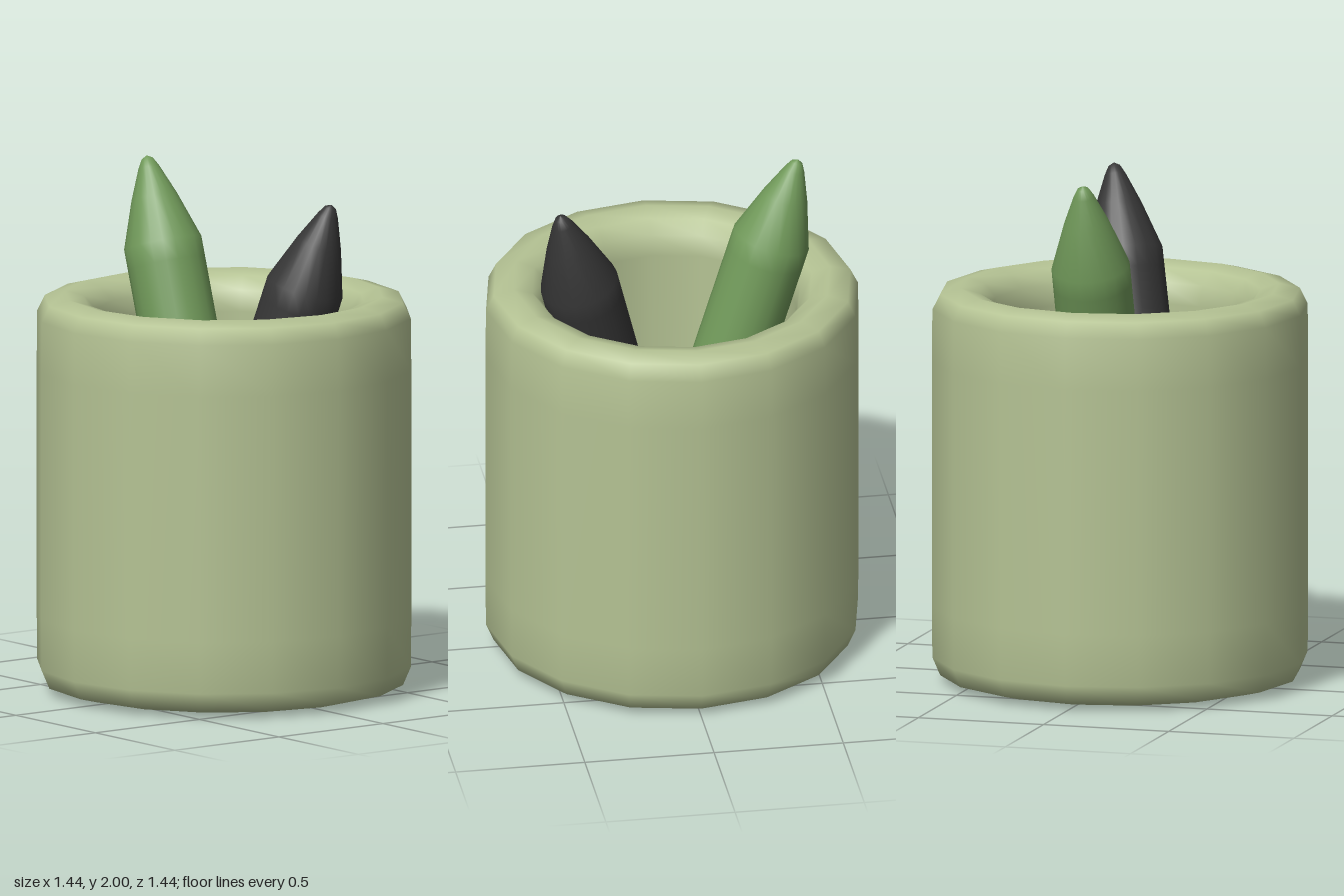
import * as THREE from 'three';

const paint = (name, color) => {
  const m = new THREE.MeshStandardMaterial({ color });
  m.name = name;
  return m;
};

const lathe = (profile, sides) =>
  new THREE.LatheGeometry(profile.map(([r, y]) => new THREE.Vector2(r, y)), sides);

export function createModel() {
  const group = new THREE.Group();
  group.name = 'penCup';

  // Thick-walled cup: underside, outer wall, rounded rim, inner wall, floor
  const cup = new THREE.Mesh(lathe([
    [0, 0], [0.5, 0], [0.61, 0.01], [0.69, 0.03], [0.72, 0.1], [0.722, 0.3],
    [0.722, 1.25], [0.72, 1.45], [0.69, 1.51], [0.61, 1.53], [0.54, 1.51],
    [0.495, 1.46], [0.48, 1.38], [0.48, 0.32], [0.45, 0.22], [0.38, 0.2], [0, 0.2],
  ], 16), paint('paleSage', 0xb5c394));
  cup.name = 'cup';
  group.add(cup);

  // Pen: closed barrel with a bluntly pointed end, leaning from base to tip
  const addPen = (name, material, base, tip) => {
    const from = new THREE.Vector3(...base);
    const axis = new THREE.Vector3(...tip).sub(from);
    const h = axis.length();
    const pen = new THREE.Mesh(lathe([
      [0, 0], [0.13, 0], [0.15, 0.02], [0.15, 0.1], [0.15, h - 0.42], [0.15, h - 0.34],
      [0.088, h - 0.16], [0.04, h - 0.045], [0.022, h - 0.012], [0, h],
    ], 20), material);
    pen.name = name;
    pen.position.copy(from);
    pen.quaternion.setFromUnitVectors(new THREE.Vector3(0, 1, 0), axis.normalize());
    group.add(pen);
  };
  addPen('greenPen', paint('leafGreen', 0x719a5a), [0.05, 0.28, 0], [-0.487, 2, 0]);
  addPen('blackPen', paint('charcoal', 0x363636), [0.02, 0.21, 0.17], [0.46, 1.92, -0.165]);

  return group;
}
